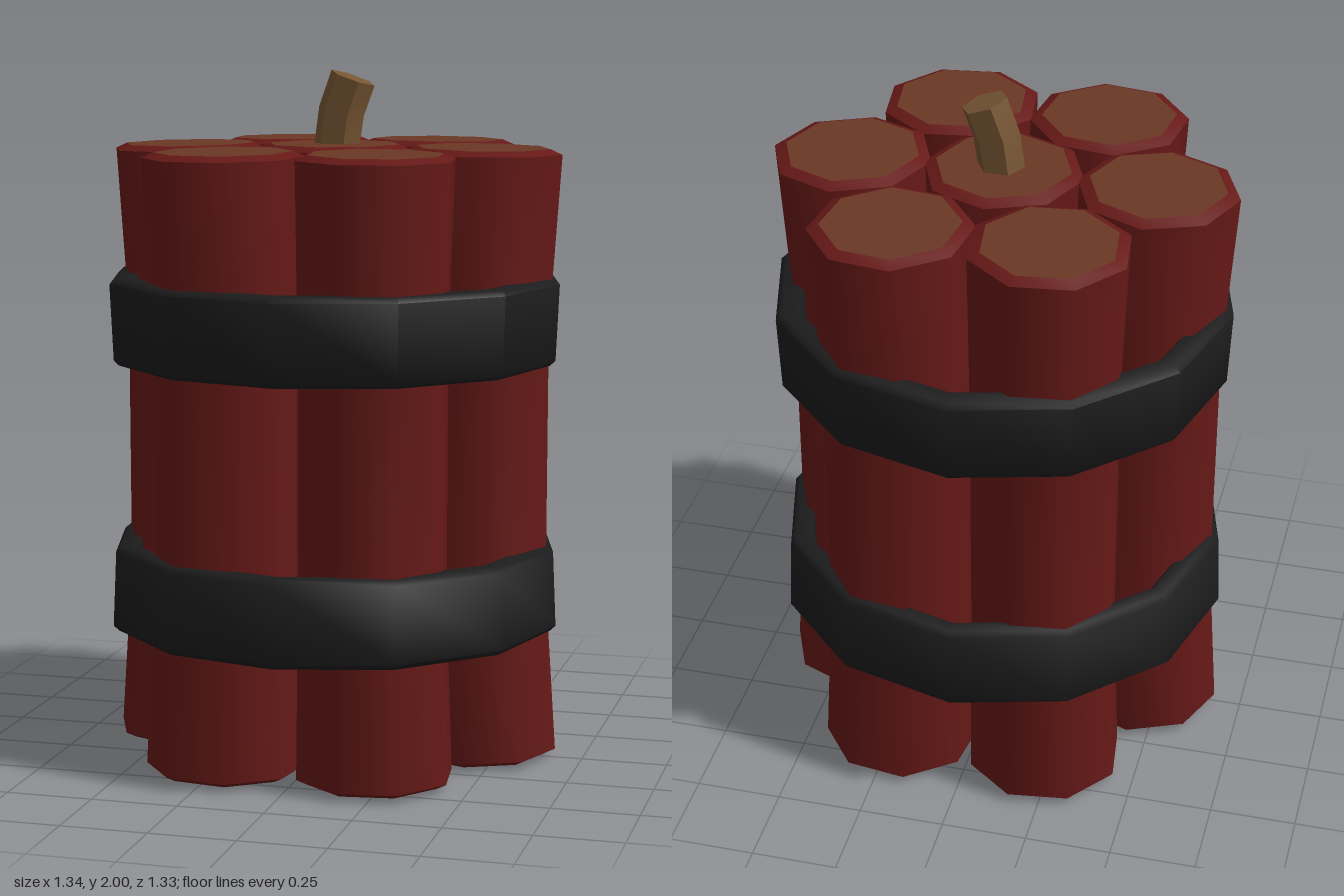
import * as THREE from 'three';
import { toCreasedNormals } from 'three/addons/utils/BufferGeometryUtils.js';

const HEIGHT = 1.79, MID = HEIGHT / 2;
const red = new THREE.MeshStandardMaterial({ color: 0x661917 });
const brown = new THREE.MeshStandardMaterial({ color: 0x6b3825 });
const black = new THREE.MeshStandardMaterial({ color: 0x1c1c1c });
const tan = new THREE.MeshStandardMaterial({ color: 0x765533 });

const lathe = (points, sides) =>
  new THREE.LatheGeometry(points.map(([x, y]) => new THREE.Vector2(x, y)), sides);

// Move every vertex by a rule
function bend(geometry, rule) {
  const p = geometry.attributes.position, v = new THREE.Vector3();
  for (let i = 0; i < p.count; i++) {
    rule(v.fromBufferAttribute(p, i));
    p.setXYZ(i, v.x, v.y, v.z);
  }
  return toCreasedNormals(geometry, 0.9);
}

// Squeeze the bundle between the straps and splay its ends outwards
function pinch(v) {
  const flare = THREE.MathUtils.clamp((Math.abs(v.y - MID) - 0.385) / 0.49, 0, 1);
  const s = 0.95 + 0.05 * flare;
  v.y -= 0.015 * Math.hypot(v.x, v.z) * (v.y - MID) / MID;
  v.x *= s;
  v.z *= s;
}

function addMesh(parent, name, geometry, material) {
  const mesh = new THREE.Mesh(geometry, material);
  mesh.name = name;
  parent.add(mesh);
  return mesh;
}

// One octagonal stick, set at a distance from the middle of the bundle
function makeStick(name, distance, angle) {
  const stick = new THREE.Group();
  stick.name = name;
  const place = (g) => bend(g.translate(distance, 0, 0).rotateY(angle), pinch);
  const profile = [[0.2, 0], [0.23, 0.015], [0.23, 0.51], [0.23, 1.28], [0.23, 1.775], [0.195, HEIGHT]];
  addMesh(stick, 'stickBody', place(lathe(profile, 8)), red);
  const top = new THREE.CircleGeometry(0.195, 8).rotateX(-Math.PI / 2).translate(0, HEIGHT, 0);
  addMesh(stick, 'stickTop', place(top), brown);
  const bottom = new THREE.CircleGeometry(0.2, 8).rotateX(Math.PI / 2);
  addMesh(stick, 'stickBottom', place(bottom), red);
  return stick;
}

// Twelve-sided strap with softened edges, a little wider at its outer end
function strapGeometry() {
  const profile = [
    [0.642, 0], [0.657, 0.015], [0.667, 0.235], [0.652, 0.25],
    [0.6, 0.25], [0.588, 0.235], [0.588, 0.015], [0.6, 0], [0.642, 0],
  ];
  return toCreasedNormals(lathe(profile, 12), 0.9);
}

// Hexagonal fuse that kinks towards +x
function fuseGeometry() {
  const rings = [[0.005, 1.77, -0.05], [0.02, 1.88, -0.22], [0.055, 1.977, -0.34]];
  const g = new THREE.CylinderGeometry(0.068, 0.068, 2, 6, 2).rotateY(Math.PI / 6);
  return bend(g, (v) => {
    const [cx, cy, tilt] = rings[Math.round(v.y) + 1];
    v.set(cx + v.x * Math.cos(tilt), cy + v.x * Math.sin(tilt), v.z);
  });
}

export function createModel() {
  const model = new THREE.Group();
  model.name = 'stickBundle';

  // Middle stick and the ring of six around it
  model.add(makeStick('middleStick', 0, 0));
  for (let i = 0; i < 6; i++) model.add(makeStick('outerStick' + (i + 1), 0.44, i * Math.PI / 3));

  // Straps, the lower one mirrored
  addMesh(model, 'upperStrap', strapGeometry(), black).position.y = 1.16;
  const lower = addMesh(model, 'lowerStrap', strapGeometry().rotateX(Math.PI), black);
  lower.position.y = 0.63;

  addMesh(model, 'fuse', fuseGeometry(), tan);
  return model;
}
